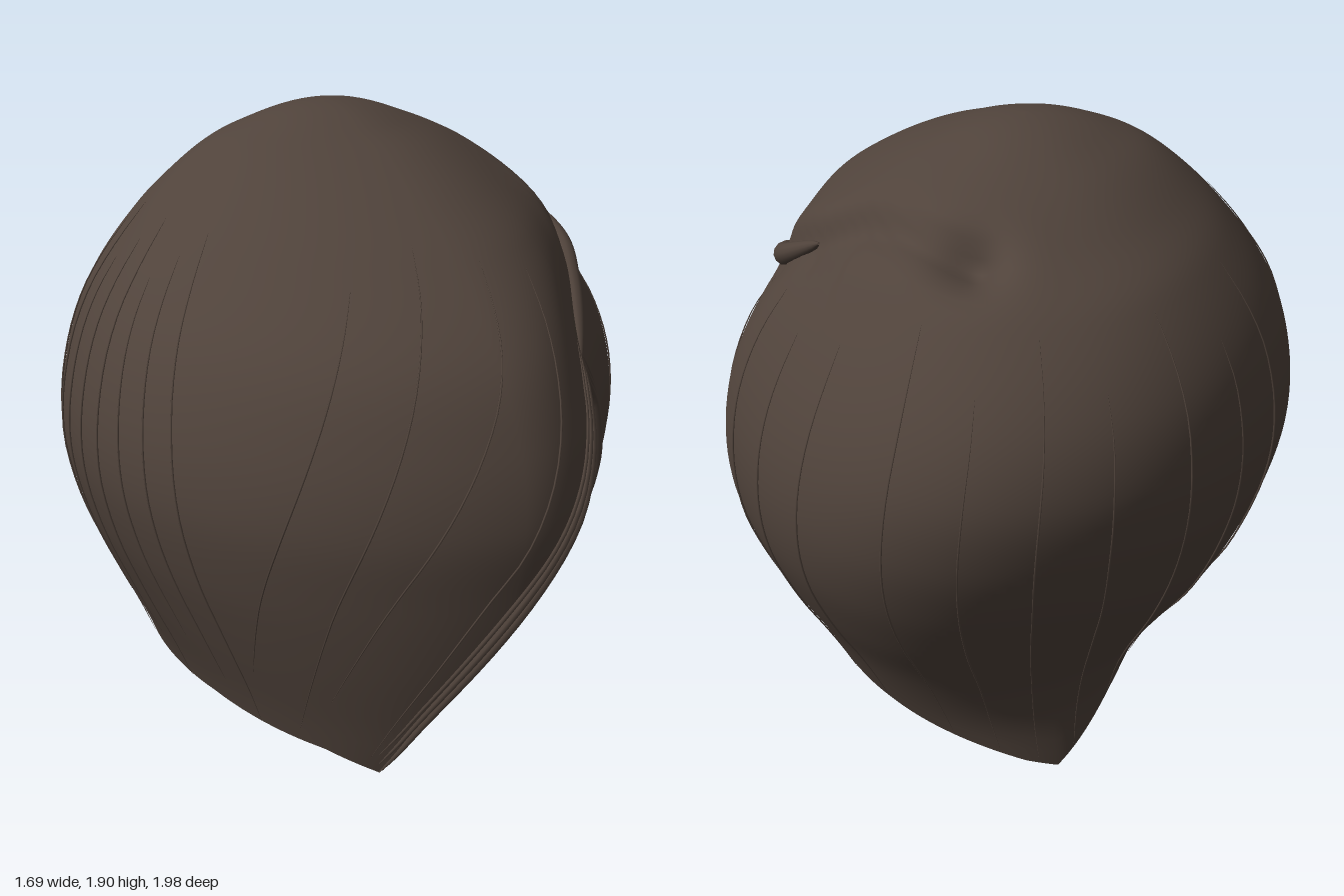
import * as THREE from 'three';

const RAD = Math.PI / 180, TAU = Math.PI * 2;
const TOP = 1.9;
const { lerp, smoothstep } = THREE.MathUtils;

// Horizontal sections: y, xMin, xMax, zMin, zMax, centre x, centre z
const ROWS = [
  [1.9, -0.03, -0.03, -0.1, -0.1, -0.03, -0.1],
  [1.85, -0.26, 0.2, -0.32, 0.11, 0, -0.1],
  [1.8, -0.37, 0.31, -0.43, 0.24, 0.02, -0.1],
  [1.7, -0.5, 0.46, -0.6, 0.44, 0.05, -0.08],
  [1.6, -0.6, 0.57, -0.77, 0.6, 0.08, -0.05],
  [1.4, -0.75, 0.715, -0.93, 0.84, 0.1, -0.02],
  [1.2, -0.825, 0.805, -0.98, 0.95, 0.12, 0],
  [1.0, -0.845, 0.84, -0.945, 0.995, 0.12, 0],
  [0.8, -0.805, 0.82, -0.86, 0.98, 0.1, 0],
  [0.6, -0.725, 0.74, -0.75, 0.95, 0.08, 0],
  [0.4, -0.635, 0.63, -0.63, 0.9, 0.05, 0],
  [0.2, -0.56, 0.53, -0.55, 0.84, 0.03, 0],
  [0, -0.45, 0.42, -0.53, 0.74, 0.02, 0],
];
const KEYS = ROWS.map((r) => Math.sqrt(TOP - r[0]));

// Smooth (Hermite) lookup of a section at height y
function section(y) {
  const s = Math.sqrt(Math.max(0, TOP - y)), n = ROWS.length;
  let i = 0;
  while (i < n - 2 && s > KEYS[i + 1]) i++;
  const h = KEYS[i + 1] - KEYS[i], u = Math.min(1, (s - KEYS[i]) / h);
  const slope = (j, c) => {
    const a = Math.max(0, j - 1), b = Math.min(n - 1, j + 1);
    return (ROWS[b][c] - ROWS[a][c]) / (KEYS[b] - KEYS[a]);
  };
  return [1, 2, 3, 4, 5, 6].map((c) => {
    const u2 = u * u, u3 = u2 * u;
    return (2 * u3 - 3 * u2 + 1) * ROWS[i][c] + (u3 - 2 * u2 + u) * h * slope(i, c)
      + (3 * u2 - 2 * u3) * ROWS[i + 1][c] + (u3 - u2) * h * slope(i + 1, c);
  });
}

// Smooth head of hair at angle a (0 = +x, 90 degrees = front) and height y
function shell(a, y) {
  const [x0, x1, z0, z1, cx, cz] = section(y);
  const c = Math.cos(a), s = Math.sin(a);
  let r = 1;
  if (c > 0 && s > 0) {
    // flattened beside the face opening
    const q = Math.atan2(s, c) / (Math.PI / 2);
    r -= lerp(0.2, 0.05, smoothstep(y, 1.25, 1.7)) * Math.sin(Math.PI * Math.pow(q, 0.78)) ** 2;
  } else if (s < 0) {
    // back is fuller on the left, flatter on the right and towards the nape
    const flat = lerp(0.2, 0.045, smoothstep(y, 0.2, 0.65));
    r += (c > 0 ? 0.05 : -flat) * (2 * s * c) ** 2;
  }
  return new THREE.Vector3(cx + r * c * (c > 0 ? x1 - cx : cx - x0), y, cz + r * s * (s > 0 ? z1 - cz : cz - z0));
}

function angleOf([x, y, z]) {
  const [x0, x1, z0, z1, cx, cz] = section(y);
  const a = Math.atan2((z - cz) / (z > cz ? z1 - cz : cz - z0), (x - cx) / (x > cx ? x1 - cx : cx - x0));
  return (a + TAU) % TAU;
}

// Lower edge: side lock, face opening, swept fringe, right side, pointed nape
const HEM = [
  [0.53, 0.28, 0], [0.52, 0.23, 0.22], [0.6, 0.6, 0.25], [0.63, 0.85, 0.31], [0.56, 1.1, 0.42], [0.47, 1.27, 0.56],
  [0.43, 1.2, 0.75], [0.37, 1.1, 0.85], [0.25, 0.93, 0.93], [0.1, 0.73, 0.95], [-0.05, 0.52, 0.92], [-0.2, 0.24, 0.83],
  [-0.33, 0.3, 0.72], [-0.58, 0.35, 0.42], [-0.6, 0.35, 0.2], [-0.55, 0.34, -0.1], [-0.4, 0.31, -0.33],
  [-0.18, 0.19, -0.48], [0.02, 0, -0.53], [0.12, 0.04, -0.53], [0.33, 0.15, -0.42], [0.45, 0.22, -0.3], [0.53, 0.28, -0.1],
].map((p) => [angleOf(p), p[1]]).sort((p, q) => p[0] - q[0]);

function hem(angle) {
  const a = ((angle % TAU) + TAU) % TAU, n = HEM.length;
  for (let i = 0; i < n; i++) {
    const p = HEM[i], q = i + 1 < n ? HEM[i + 1] : [HEM[0][0] + TAU, HEM[0][1]];
    if (a >= p[0] && a <= q[0]) return p[1] + (q[1] - p[1]) * (a - p[0]) / (q[0] - p[0] || 1);
  }
  return HEM[0][1];
}

// Parting line from the crown whorl down to the face opening
const PARTING = [[0.25, 1.69, -0.5], [0.42, 1.68, -0.2], [0.54, 1.6, -0.08], [0.59, 1.5, 0.1], [0.58, 1.42, 0.3], [0.47, 1.27, 0.56]]
  .map((p) => shell(angleOf(p), p[1]));
const CROWN = PARTING[0], CORE = new THREE.Vector3(0, 1, 0);

// Hair surface: the fringe overhangs the side hair along the parting
function surface(a, y, lift = 0) {
  const p = shell(a, y), line = new THREE.Line3(), q = new THREE.Vector3(), near = new THREE.Vector3();
  let d = Infinity;
  for (let i = 0; i + 1 < PARTING.length; i++) {
    line.set(PARTING[i], PARTING[i + 1]).closestPointToPoint(p, true, q);
    if (q.distanceTo(p) < d) {
      d = q.distanceTo(p);
      near.copy(q);
    }
  }
  const below = smoothstep(near.y - p.y, 0, 0.05) * smoothstep(near.z, -0.4, -0.1);
  const front = 1 - smoothstep(near.z, 0, 0.35);
  const step = lerp(-0.025 * front, 0.022 * front, below);
  const push = 0.055 * front * Math.exp(-((d / 0.055) ** 2)) + step * Math.exp(-((d / 0.16) ** 2))
    + 0.05 * Math.exp(-((p.distanceTo(CROWN) / 0.1) ** 2));
  return p.addScaledVector(CORE.clone().sub(p).normalize(), push - lift);
}

// Grid mesh; point(u, v) with u across and v down
function gridGeometry(cols, rows, point, closed) {
  const pos = [], index = [], w = closed ? cols : cols + 1;
  for (let j = 0; j <= rows; j++) for (let i = 0; i < w; i++) pos.push(...point(i / cols, j / rows).toArray());
  for (let j = 0; j < rows; j++) for (let i = 0; i < cols; i++) {
    const p = j * w + i, q = j * w + (i + 1) % w;
    index.push(p, q, p + w, q, q + w, p + w);
  }
  const g = new THREE.BufferGeometry();
  g.setAttribute('position', new THREE.Float32BufferAttribute(pos, 3));
  g.setIndex(index);
  g.computeVertexNormals();
  return g;
}

// Tapered strand through points
function strandGeometry(points, radius, sides = 5) {
  const curve = new THREE.CatmullRomCurve3(points), n = 28;
  const g = new THREE.TubeGeometry(curve, n, radius, sides, false), pos = g.attributes.position;
  const v = new THREE.Vector3();
  for (let i = 0; i <= n; i++) {
    const c = curve.getPointAt(i / n), taper = 0.1 + 0.9 * Math.sin(Math.PI * i / n) ** 0.6;
    for (let j = 0; j <= sides; j++) {
      const k = i * (sides + 1) + j;
      v.fromBufferAttribute(pos, k).sub(c).multiplyScalar(taper).add(c);
      pos.setXYZ(k, v.x, v.y, v.z);
    }
  }
  return g;
}

export function createModel() {
  const hair = new THREE.MeshStandardMaterial({ color: 0x50433b, side: THREE.DoubleSide });
  hair.name = 'dark brown hair';
  const group = new THREE.Group();
  group.name = 'bobHair';
  const add = (geometry, name, parent = group) => {
    const mesh = new THREE.Mesh(geometry, hair);
    mesh.name = name;
    parent.add(mesh);
  };

  add(gridGeometry(280, 64, (u, v) => {
    const a = u * TAU;
    return surface(a, TOP - (TOP - hem(a)) * Math.pow(v, 1.7));
  }, true), 'outerHair');

  // Rolled lip where the fringe overlaps the side hair
  add(strandGeometry(PARTING.slice(2).map((p) => p.clone().lerp(CORE, 0.015)), 0.035, 12), 'partingLip');

  // Underside of the swept fringe, folding back behind its edge
  const fold = new THREE.CatmullRomCurve3([[-0.27, 0.29, 0.7], [-0.26, 0.59, 0.49], [-0.26, 0.9, 0.49], [-0.24, 1.2, 0.49], [-0.1, 1.36, 0.49]]
    .map((p) => new THREE.Vector3(...p)));
  add(gridGeometry(40, 12, (u, v) => {
    const a = lerp(112.5, 50, u) * RAD, bulge = Math.sin(Math.PI * v) * Math.sin(Math.PI * u);
    return surface(a, hem(a)).lerp(fold.getPoint(u), v).add(new THREE.Vector3(-0.05 * bulge, 0, 0.08 * bulge));
  }, false), 'fringeUnderside');

  // Strands lying on the surface; angle drifts from a0 to a1 while falling
  const strands = new THREE.Group();
  strands.name = 'strands';
  group.add(strands);
  const strand = (a0, a1, y0, end = 0) => {
    const pts = [];
    for (let i = 0; i <= 12; i++) {
      const u = i / 12, a = (a0 + (a1 - a0) * u) * RAD;
      const y1 = hem(a1 * RAD) + end;
      pts.push(surface(a, Math.max(hem(a), y0 + (y1 - y0) * u), 0.003));
    }
    add(strandGeometry(pts, 0.003), 'strand', strands);
  };
  for (let i = 0; i < 4; i++) strand(66 + i * 16, 114 + i * 8, 1.56 + 0.04 * (i % 3), 0.05 + 0.15 * (i % 2));
  for (let i = 0; i < 8; i++) strand(150 + i * 6, 140 + i * 7, 1.64 - 0.06 * (i % 3), 0.1 * (i % 3));
  for (let i = 0; i < 7; i++) strand(222 + i * 15, 222 + i * 14, 1.58 - 0.12 * (i % 2), 0.02);
  for (let i = 0; i < 4; i++) strand(-30 + i * 13, -34 + i * 13, 1.48 - 0.04 * (i % 2), 0.02);

  // Locks rimming the face opening
  const rim = (name, a0, a1) => {
    for (let k = 0; k < 3; k++) {
      const pts = [];
      for (let i = 0; i <= 16; i++) {
        const a = (a0 + (a1 - a0) * i / 16) * RAD;
        pts.push(surface(a, hem(a) + 0.035 * k));
      }
      add(strandGeometry(pts, 0.016 - 0.004 * k), name);
    }
  };
  rim('fringeEdgeLock', 48, 112);
  rim('sideEdgeLock', 42, 17);

  return group;
}
